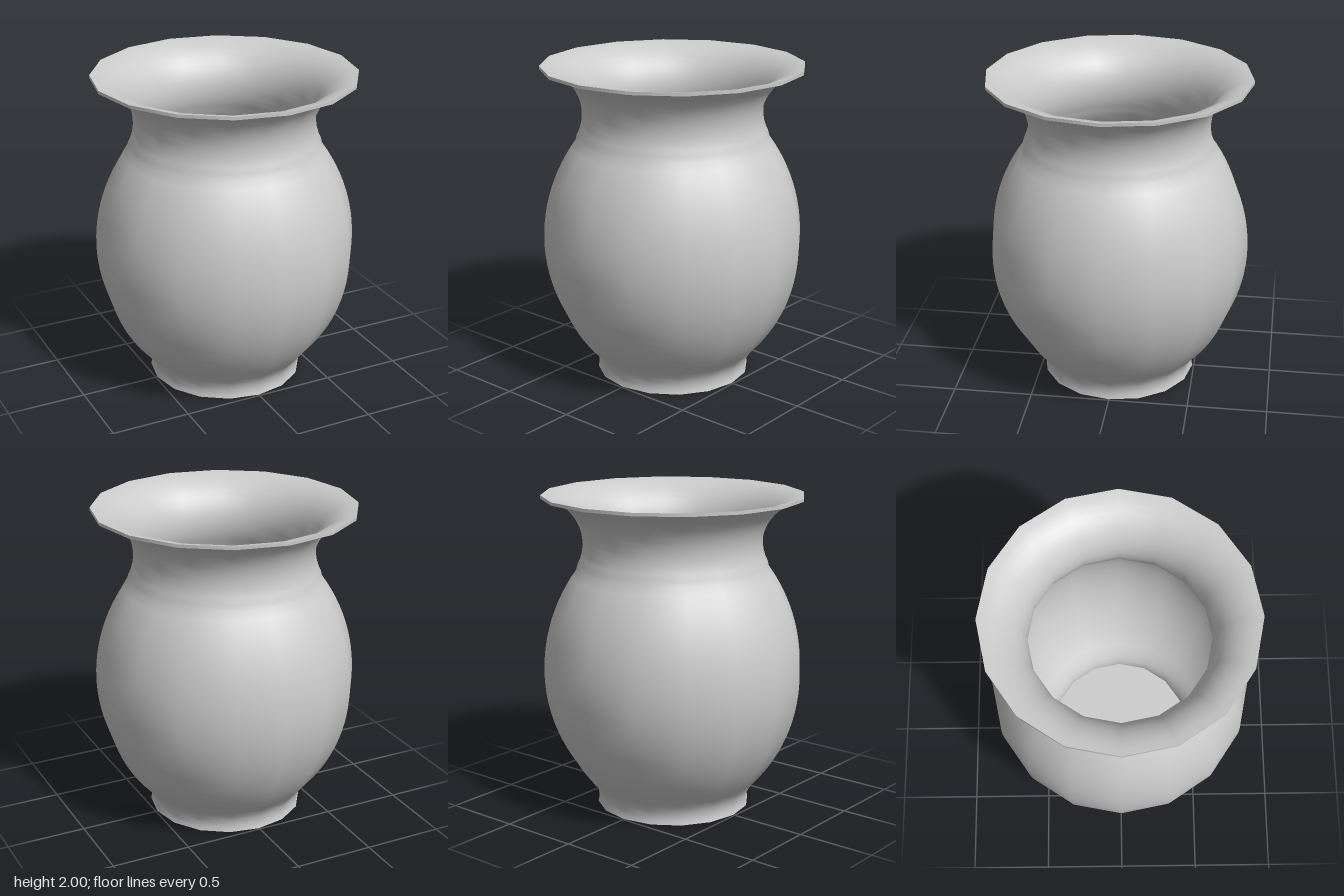
import * as THREE from 'three';

const SIDES = 16;
const WALL = 0.02;

// Points on a circular arc, angles in radians
function arc(cx, cy, r, a0, a1, n) {
  return Array.from({ length: n + 1 }, (_, i) => {
    const a = a0 + ((a1 - a0) * i) / n;
    return new THREE.Vector2(cx + r * Math.cos(a), cy + r * Math.sin(a));
  });
}

// Side profile from foot to lip, moved inward by the given distance
function wallProfile(inset) {
  const foot = [[0.49, 0], [0.484, 0.022], [0.483, 0.05], [0.489, 0.085], [0.506, 0.118]]
    .map(([x, y]) => new THREE.Vector2(x - inset, Math.max(y, inset)));
  const lower = arc(-0.24, 0.88, 1.06 - inset, -0.762, 0, 14);
  const upper = arc(-0.29, 0.88, 1.11 - inset, 0, 0.63, 12).slice(1);
  const neck = arc(0.845, 1.7, 0.28 + inset, Math.PI + 0.5, Math.PI / 2 + 0.09, 14);
  return [...foot, ...lower, ...upper, ...neck];
}

export function createModel() {
  const group = new THREE.Group();
  const material = new THREE.MeshStandardMaterial({ color: 0xcccccc });

  function addLathe(name, points) {
    const mesh = new THREE.Mesh(new THREE.LatheGeometry(points, SIDES), material);
    mesh.name = name;
    group.add(mesh);
  }

  const outer = wallProfile(0);
  const inner = wallProfile(WALL);
  const lipRadius = 0.82;
  outer[outer.length - 1].set(lipRadius, 1.98);
  inner[inner.length - 1].set(lipRadius, 2);

  // Separate lathes keep the foot, rim and floor edges sharp
  addLathe('base', [new THREE.Vector2(0, 0), outer[0].clone()]);
  addLathe('outerWall', outer);
  addLathe('rim', [outer[outer.length - 1].clone(), inner[inner.length - 1].clone()]);
  addLathe('innerWall', inner.slice(1).reverse());
  addLathe('floor', [inner[1].clone(), new THREE.Vector2(0, inner[1].y)]);

  return group;
}
